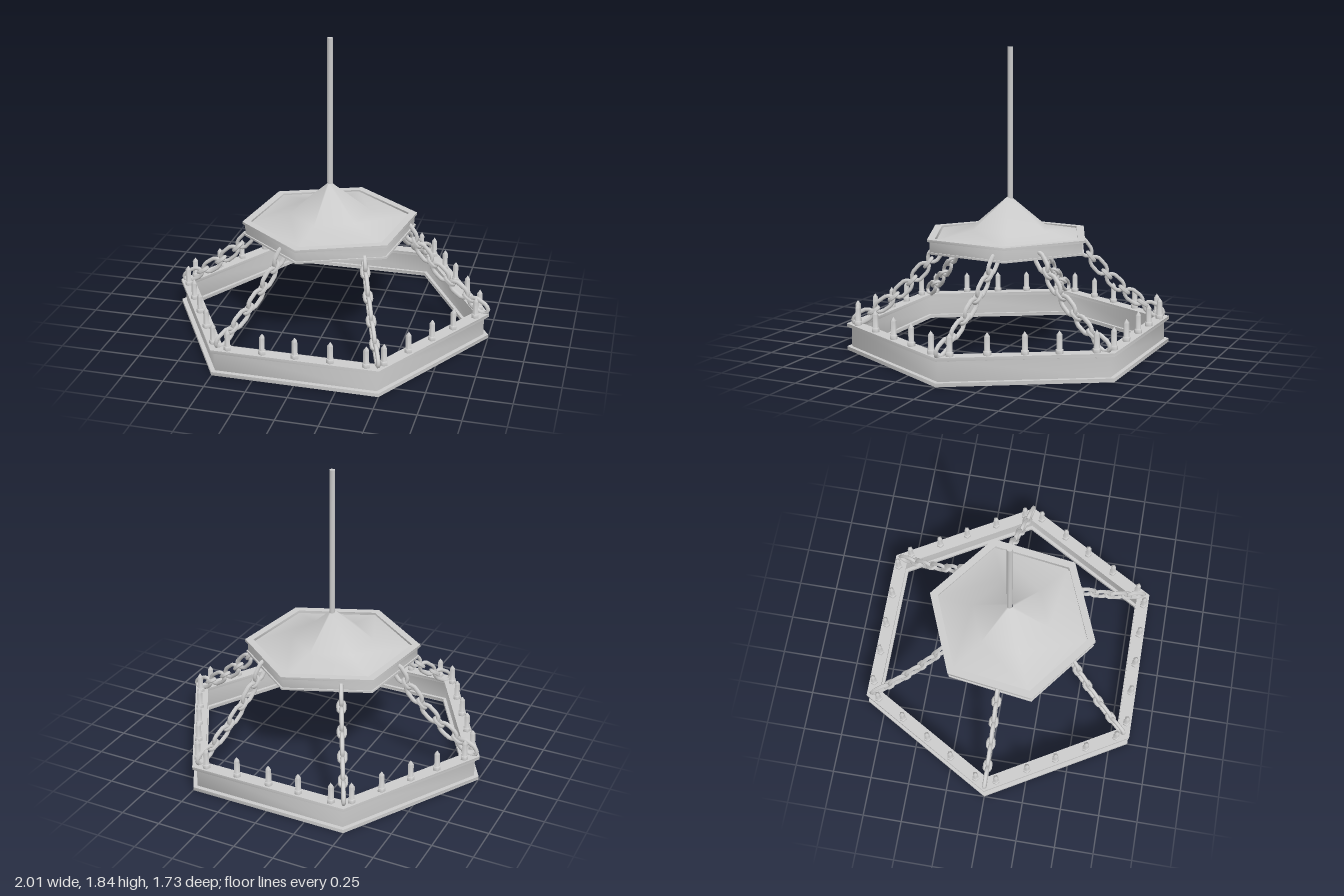
import * as THREE from 'three';
import { toCreasedNormals } from 'three/addons/utils/BufferGeometryUtils.js';

const grey = new THREE.MeshStandardMaterial({ color: 0xcccccc });
const thin = new THREE.MeshStandardMaterial({ color: 0xcccccc, side: THREE.DoubleSide });
const rad = THREE.MathUtils.degToRad;
const profile = pairs => pairs.map(p => new THREE.Vector2(...p));

// Corners up to 74 degrees are shaded smooth, right angles stay sharp
function part(name, geometry, material = grey) {
  const mesh = new THREE.Mesh(toCreasedNormals(geometry, rad(74)), material);
  mesh.name = name;
  return mesh;
}

// Hexagonal band between two radii and two heights, one corner at angle a0
function hexBand(name, outer, inner, y0, y1, a0 = 0) {
  const corners = r => Array.from({ length: 6 }, (_, i) => {
    const a = i * Math.PI / 3 - a0;
    return new THREE.Vector2(r * Math.cos(a), r * Math.sin(a));
  });
  const shape = new THREE.Shape(corners(outer));
  shape.holes.push(new THREE.Path(corners(inner)));
  const g = new THREE.ExtrudeGeometry(shape, { depth: y1 - y0, bevelEnabled: false });
  g.rotateX(-Math.PI / 2).translate(0, y0, 0);
  return part(name, g);
}

// Elongated eight-cornered chain link lying in the xy plane, long axis x
function linkGeometry(length, width, wire) {
  const corners = [[1, -0.4], [1, 0.4], [0.55, 1], [-0.55, 1], [-1, 0.4], [-1, -0.4], [-0.55, -1], [0.55, -1]];
  const points = corners.map(([x, y]) =>
    new THREE.Vector3(x * (length / 2 - wire), y * (width / 2 - wire), 0));
  return new THREE.TubeGeometry(new THREE.CatmullRomCurve3(points, true, 'catmullrom', 0.2), 16, wire, 6, true);
}

const longLink = linkGeometry(0.155, 0.09, 0.013);
const shortLink = linkGeometry(0.09, 0.062, 0.012).rotateX(Math.PI / 2);

// Sagging chain of long links joined by short crosswise links
function chain(x0, z0, x1, z1) {
  const group = new THREE.Group();
  group.name = 'chain';
  const curve = new THREE.QuadraticBezierCurve3(
    new THREE.Vector3(x0, 0.19, z0),
    new THREE.Vector3(x0 * 0.42 + x1 * 0.58, 0.34, z0 * 0.42 + z1 * 0.58),
    new THREE.Vector3(x1, 0.65, z1));
  const side = new THREE.Vector3(x1 - x0, 0, z1 - z0).normalize().cross(new THREE.Vector3(0, 1, 0));
  for (let i = 0; i < 9; i++) {
    const t = 0.06 + i * 0.108;
    const along = curve.getTangentAt(t);
    const up = side.clone().cross(along);
    const link = part(i % 2 ? 'shortLink' : 'longLink', i % 2 ? shortLink : longLink);
    link.applyMatrix4(new THREE.Matrix4().makeBasis(along, up, side).setPosition(curve.getPointAt(t)));
    group.add(link);
  }
  return group;
}

export function createModel() {
  const model = new THREE.Group();
  model.name = 'chandelier';

  // Lower ring: web with a flange above and below
  const ring = new THREE.Group();
  ring.name = 'lowerRing';
  ring.add(hexBand('bottomFlange', 1, 0.907, 0, 0.022));
  ring.add(hexBand('ringWall', 0.97, 0.93, 0.022, 0.145));
  ring.add(hexBand('topFlange', 1, 0.907, 0.145, 0.165));
  model.add(ring);

  // Candles, five along each side, with a pin through the flange
  const candleGeometry = new THREE.LatheGeometry(profile([[0, 0.135], [0.014, 0.135], [0.014, 0.164],
    [0.024, 0.164], [0.024, 0.188], [0.018, 0.19], [0.018, 0.272], [0, 0.297]]), 5);
  for (let s = 0; s < 6; s++) {
    const a = rad(30 + 60 * s);
    const dir = Math.sin(a) < 0.01 || Math.cos(a) > 0.01 ? 1 : -1;
    for (const d of [-0.405, -0.195, 0, 0.21, 0.42]) {
      const candle = part('candle', candleGeometry);
      candle.position.set(
        0.833 * Math.cos(a) - dir * d * Math.sin(a), 0,
        0.833 * Math.sin(a) + dir * d * Math.cos(a));
      model.add(candle);
    }
  }

  // Canopy rim, turned against the lower ring
  const turn = rad(37.8);
  const canopy = new THREE.Group();
  canopy.name = 'canopy';
  canopy.position.z = 0.015;
  canopy.add(hexBand('rimBottomLip', 0.535, 0.49, 0.62, 0.632, turn));
  canopy.add(hexBand('rimWall', 0.525, 0.5, 0.632, 0.695, turn));
  canopy.add(hexBand('rimTopLip', 0.542, 0.49, 0.695, 0.71, turn));
  model.add(canopy);

  // Six-sided flared roof
  const roof = part('roof', new THREE.LatheGeometry(
    profile([[0.492, 0.697], [0.25, 0.742], [0.015, 0.93]]), 6, Math.PI / 2 - turn), thin);
  roof.position.set(-0.006, 0, 0.007);
  model.add(roof);

  // Hanging rod
  const rod = part('rod', new THREE.CylinderGeometry(0.018, 0.018, 0.93, 8));
  rod.position.set(-0.006, 1.375, 0);
  model.add(rod);

  // Chains from the ring corners up to the canopy
  for (const ends of [
    [-0.955, 0, -0.43, 0], [0.97, -0.005, 0.44, -0.115],
    [-0.475, -0.81, -0.24, -0.36], [0.475, -0.81, 0.3, -0.31],
    [-0.465, 0.805, -0.18, 0.41], [0.48, 0.805, 0.28, 0.33],
  ]) model.add(chain(...ends));

  return model;
}
